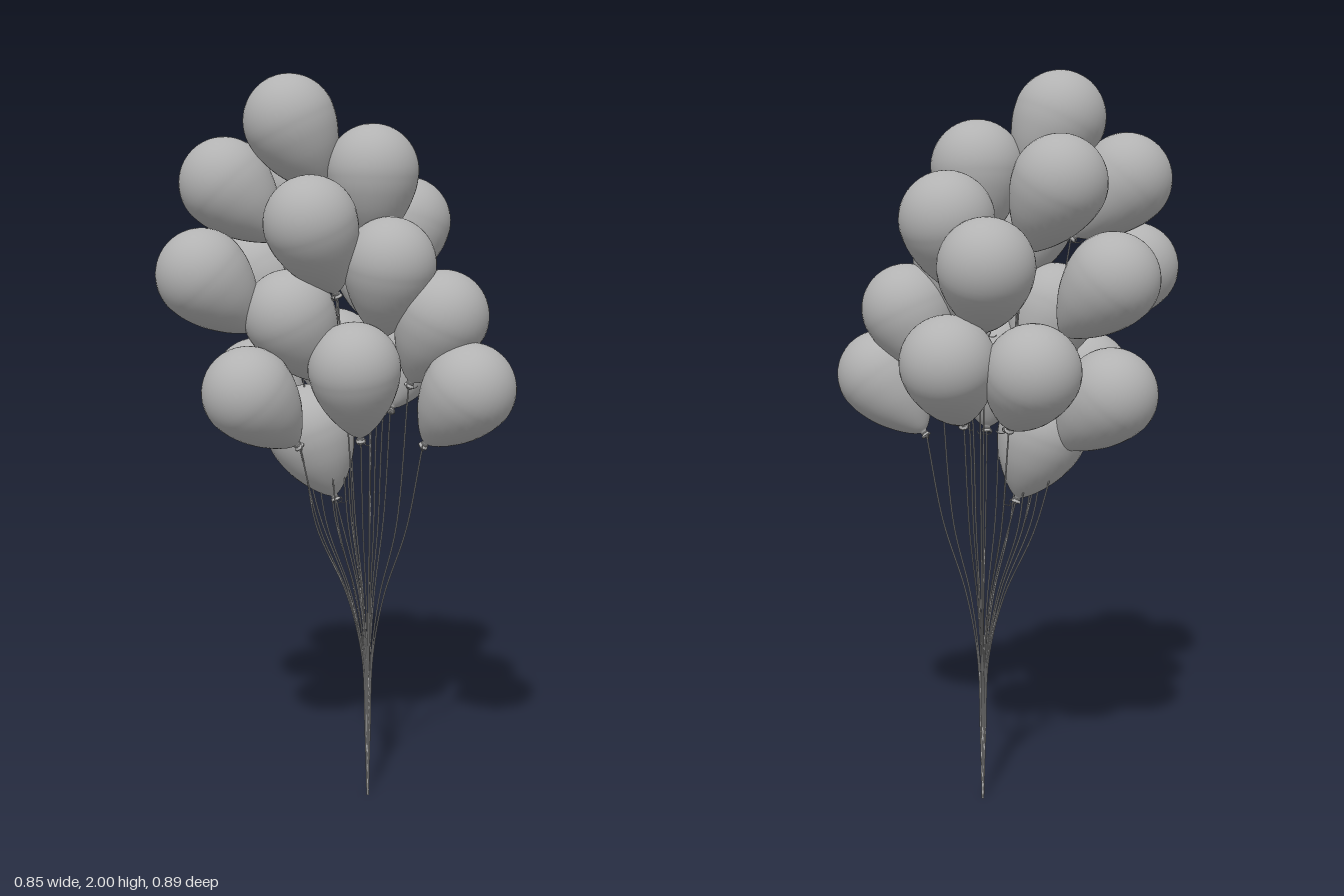
import * as THREE from 'three';

const R = 0.122;      // balloon radius
const TAIL = 0.212;   // balloon centre to knot
const BASE = new THREE.Vector3(0.05, 0, 0.03); // where the strings meet

// Centre of the round part of each balloon
const CENTRES = [
  [-0.095, 1.878, -0.12], [-0.185, 1.72, -0.27], [0.068, 1.71, -0.215], [0.038, 1.752, 0.05],
  [-0.155, 1.62, 0.004], [0.22, 1.62, 0.022], [0.27, 1.508, -0.127], [-0.304, 1.487, -0.238],
  [-0.015, 1.47, -0.325], [-0.02, 1.175, -0.322], [0.205, 1.25, -0.222], [0.303, 1.27, -0.035],
  [0.1, 1.197, 0.325], [0.105, 1.38, 0.233], [0.008, 1.515, 0.132], [-0.072, 1.247, 0.08],
  [-0.27, 1.187, -0.112], [-0.145, 1.38, -0.08], [-0.03, 1.063, -0.115],
];

// Pear-shaped body with a pinched neck and a flared lip
function balloonGeometry() {
  const pts = [new THREE.Vector2(0.0005, -TAIL - 0.001), new THREE.Vector2(0.014, -TAIL),
    new THREE.Vector2(0.013, -TAIL + 0.004), new THREE.Vector2(0.007, -TAIL + 0.01)];
  const lower = new THREE.SplineCurve([[0.010, -0.196], [0.03, -0.182], [0.062, -0.147], [0.093, -0.1],
    [0.115, -0.045], [R, 0]].map(p => new THREE.Vector2(...p)));
  pts.push(...lower.getPoints(16));
  for (let i = 1; i <= 14; i++) {
    const a = (i / 14) * Math.PI / 2;
    pts.push(new THREE.Vector2(Math.max(R * Math.cos(a), 0), R * Math.sin(a)));
  }
  return new THREE.LatheGeometry(pts, 36);
}

// Curled loose end of string at the knot
function curlGeometry() {
  const pts = [];
  for (let i = 0; i <= 20; i++) {
    const a = i * 0.62;
    pts.push(new THREE.Vector3(0.01 * Math.cos(a) + i * 0.0018 - 0.012, 0.008 * Math.sin(a), 0.006 * Math.sin(a * 0.5)));
  }
  return new THREE.TubeGeometry(new THREE.CatmullRomCurve3(pts), 48, 0.0014, 4);
}

export function createModel() {
  const group = new THREE.Group();
  group.name = 'balloonBunch';
  const grey = new THREE.MeshStandardMaterial({ color: 0xb2b2b2 });
  grey.name = 'grey';
  const body = balloonGeometry();
  const curl = curlGeometry();
  const knotRing = new THREE.TorusGeometry(0.009, 0.002, 6, 16);
  const up = new THREE.Vector3(0, 1, 0);

  CENTRES.forEach((c, i) => {
    const centre = new THREE.Vector3(...c);
    const out = new THREE.Vector3(c[0] - BASE.x, 0, c[2] - BASE.z);
    // Lean outward, more for balloons further from the strings
    const lean = Math.min(0.45 * out.length(), 0.145);
    const axis = out.clone().normalize().multiplyScalar(lean);
    axis.y = Math.sqrt(TAIL * TAIL - lean * lean);
    const knot = centre.clone().sub(axis);
    axis.normalize();

    const balloon = new THREE.Group();
    balloon.name = 'balloon';
    balloon.position.copy(centre);
    balloon.quaternion.setFromUnitVectors(up, axis);
    const skin = new THREE.Mesh(body, grey);
    skin.name = 'balloonSkin';
    const ring = new THREE.Mesh(knotRing, grey);
    ring.name = 'knot';
    ring.rotation.x = Math.PI / 2;
    ring.position.y = -TAIL + 0.01;
    balloon.add(skin, ring);
    group.add(balloon);

    const loop = new THREE.Mesh(curl, grey);
    loop.name = 'stringCurl';
    loop.position.copy(knot);
    loop.rotation.y = i * 2.4;
    group.add(loop);

    // String drops from the knot, then gathers into the bundle
    const side = new THREE.Vector3(knot.x - BASE.x, 0, knot.z - BASE.z);
    const spread = knot.y > 1.2 ? 0.65 : 0.95;
    const at = (y, f) => BASE.clone().addScaledVector(side, f * spread).setY(y);
    const path = [knot];
    if (knot.y > 1.2) path.push(at(1.0, 0.95));
    if (knot.y > 0.95) path.push(at(0.8, 0.75));
    path.push(at(0.6, 0.31), at(0.42, 0.09), at(0.2, 0.04), at(0.002, 0.008));
    const string = new THREE.Mesh(
      new THREE.TubeGeometry(new THREE.CatmullRomCurve3(path, false, 'centripetal'), 48, 0.0022, 5), grey);
    string.name = 'string';
    group.add(string);
  });
  return group;
}
